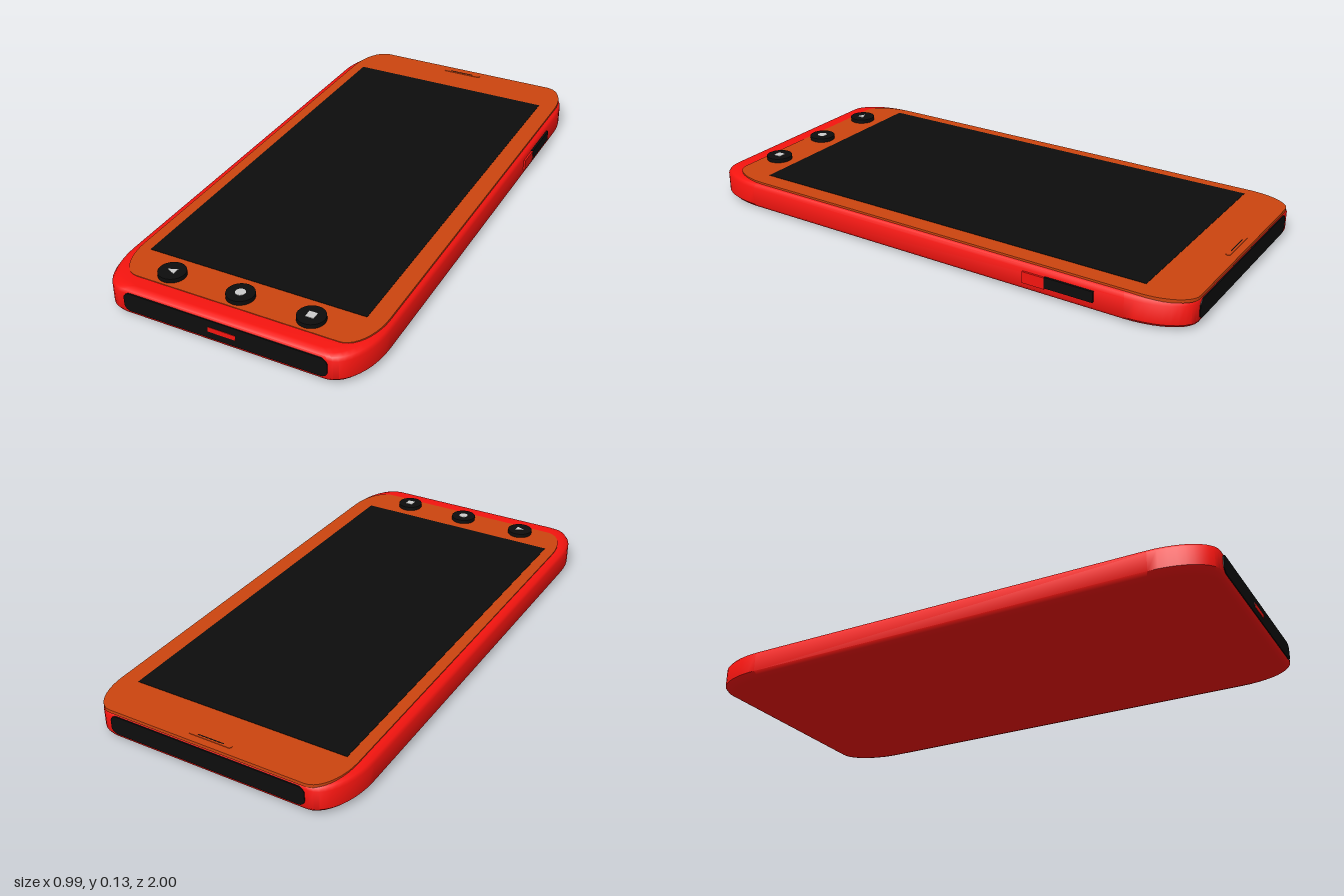
import * as THREE from 'three';
import { mergeVertices, toCreasedNormals } from 'three/addons/utils/BufferGeometryUtils.js';

const mat = (color) => new THREE.MeshStandardMaterial({ color });
const CX = -0.005; // centre line of the case

// Rounded rectangle whose corners have different radii across and along
function roundedShape(x0, x1, y0, y1, rx, ry) {
  const s = new THREE.Shape();
  const kx = rx * 0.448, ky = ry * 0.448;
  s.moveTo(x0 + rx, y0);
  s.lineTo(x1 - rx, y0);
  s.bezierCurveTo(x1 - kx, y0, x1, y0 + ky, x1, y0 + ry);
  s.lineTo(x1, y1 - ry);
  s.bezierCurveTo(x1, y1 - ky, x1 - kx, y1, x1 - rx, y1);
  s.lineTo(x0 + rx, y1);
  s.bezierCurveTo(x0 + kx, y1, x0, y1 - ky, x0, y1 - ry);
  s.lineTo(x0, y0 + ry);
  s.bezierCurveTo(x0, y0 + ky, x0 + kx, y0, x0 + rx, y0);
  return s;
}

// Case: stacked outlines, drawn in at top and bottom for soft edges
function caseGeometry() {
  const layers = [[0, 0.06], [0.003, 0.03], [0.01, 0.01], [0.022, 0], [0.09, 0],
    [0.101, 0.007], [0.107, 0.022], [0.11, 0.045]];
  const pos = [], idx = [];
  let n = 0;
  layers.forEach(([y, inset]) => {
    const w = 0.492 - inset, d = 0.997 - inset * 0.6;
    const pts = roundedShape(CX - w, CX + w, -d, d, 0.11, 0.21).getPoints(10);
    pts.pop();
    n = pts.length;
    pts.forEach((p) => pos.push(p.x, y, -p.y));
  });
  for (let l = 0; l < layers.length - 1; l++) {
    for (let i = 0; i < n; i++) {
      const a = l * n + i, b = l * n + (i + 1) % n;
      idx.push(a, b, b + n, a, b + n, a + n);
    }
  }
  // flat bottom and top
  const top = (layers.length - 1) * n;
  for (let i = 1; i < n - 1; i++) {
    idx.push(0, i + 1, i, top, top + i, top + i + 1);
  }
  const g = new THREE.BufferGeometry();
  g.setAttribute('position', new THREE.Float32BufferAttribute(pos, 3));
  g.setIndex(idx);
  return toCreasedNormals(mergeVertices(g), 0.7);
}

export function createModel() {
  const phone = new THREE.Group();
  phone.name = 'phone';
  const red = mat(0xf5140f), orange = mat(0xcc440f), black = mat(0x0d0d0d), grey = mat(0xcccccc);

  const add = (name, geo, material, x = 0, y = 0, z = 0, parent = phone) => {
    const m = new THREE.Mesh(geo, material);
    m.name = name;
    m.position.set(x, y, z);
    parent.add(m);
    return m;
  };
  const box = (name, material, x0, x1, y0, y1, z0, z1) =>
    add(name, new THREE.BoxGeometry(x1 - x0, y1 - y0, z1 - z0), material,
      (x0 + x1) / 2, (y0 + y1) / 2, (z0 + z1) / 2);
  // Flat slab lying on y
  const slab = (shape, depth) =>
    new THREE.ExtrudeGeometry(shape, { depth, bevelEnabled: false, curveSegments: 10 }).rotateX(-Math.PI / 2);

  add('case', caseGeometry(), red);
  add('facePlate', slab(roundedShape(-0.465, 0.47, -0.925, 0.997, 0.09, 0.17), 0.012), orange, 0, 0.1005, 0);
  box('screen', black, -0.422, 0.403, 0.105, 0.114, -0.822, 0.78);

  // Earpiece: raised rim with a dark slit
  add('earpiece', slab(roundedShape(-0.085, 0.08, 0.953, 0.97, 0.008, 0.008), 0.004), orange, 0, 0.1105, 0);
  box('earpieceSlit', black, -0.055, 0.045, 0.112, 0.115, -0.963, -0.959);

  // Dark end panels, front and back
  [1, -1].forEach((side) => {
    const geo = new THREE.ExtrudeGeometry(roundedShape(-0.376, 0.378, 0.024, 0.094, 0.025, 0.022),
      { depth: 0.03, bevelEnabled: false });
    add(side > 0 ? 'frontPanel' : 'backPanel', geo, black, 0, 0, side > 0 ? 0.97 : -1);
  });
  box('chargingPort', red, -0.05, 0.052, 0.05, 0.068, 0.98, 1.0015);

  // Side keys
  box('volumeKey', black, 0.46, 0.495, 0.043, 0.083, -0.68, -0.5);
  box('powerKey', red, 0.46, 0.494, 0.038, 0.08, -0.5, -0.415);

  // Navigation buttons with raised symbols
  const triangle = new THREE.Shape([[-0.018, 0], [0.015, -0.015], [0.015, 0.015]]
    .map(([x, y]) => new THREE.Vector2(x, y)));
  const symbols = [
    ['back', -0.272, slab(triangle, 0.003)],
    ['home', -0.008, new THREE.CylinderGeometry(0.018, 0.018, 0.003, 24).translate(0, 0.0015, 0)],
    ['recent', 0.252, new THREE.BoxGeometry(0.03, 0.003, 0.03).translate(0, 0.0015, 0)],
  ];
  symbols.forEach(([name, x, geo]) => {
    const button = new THREE.Group();
    button.name = name + 'Button';
    button.position.set(x, 0, 0.866);
    phone.add(button);
    add(name + 'Cap', new THREE.CylinderGeometry(0.049, 0.049, 0.022, 32), black, 0, 0.117, 0, button);
    add(name + 'Symbol', geo, grey, 0, 0.1265, 0, button);
  });

  return phone;
}
